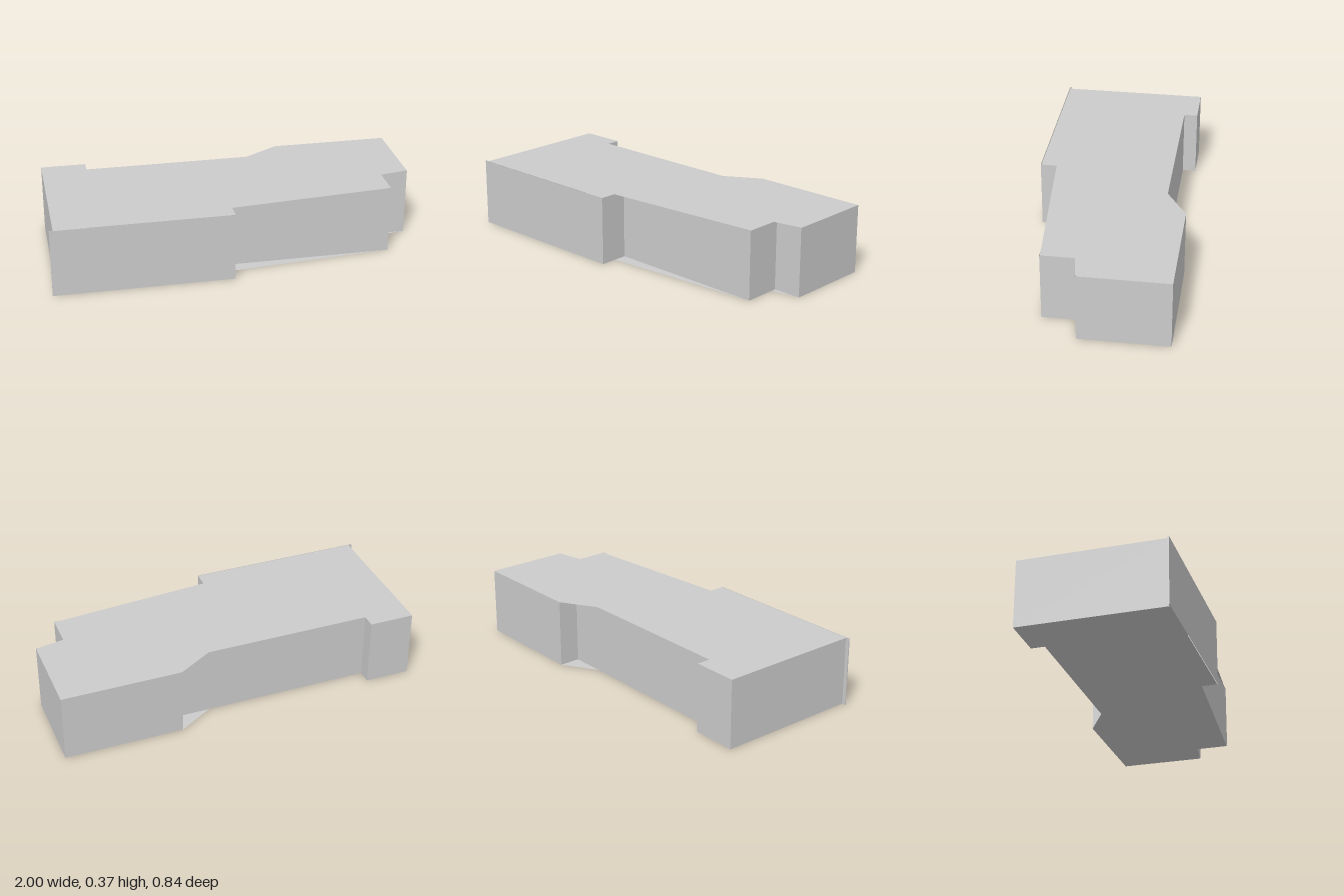
import * as THREE from 'three';

const HEIGHT = 0.373;

// Plan outlines as [x, z]; the slabs cut corners that the walls step around.
const slabOutline = [
  [-0.98, 0.415], [-0.04, 0.415], [-0.04, 0.33], [0.845, 0.255], [0.845, 0.08], [1, 0.052],
  [1, -0.42], [0.36, -0.42], [0.17, -0.305], [-0.735, -0.305], [-0.735, -0.38], [-0.98, -0.38],
];
const wallOutline = [
  [-1, 0.418], [-0.04, 0.418], [-0.04, 0.258], [0.845, 0.258], [0.845, 0.055], [1, 0.055],
  [1, -0.42], [0.36, -0.42], [0.36, -0.305], [-0.735, -0.305], [-0.735, -0.38], [-0.98, -0.38],
  [-0.98, 0.412], [-1, 0.412],
];

export function createModel() {
  const model = new THREE.Group();
  model.name = 'building';
  const material = new THREE.MeshStandardMaterial({ color: 0xcccccc, side: THREE.DoubleSide });

  // Roof and floor slabs, facing outward
  const shape = new THREE.Shape(slabOutline.map(([x, z]) => new THREE.Vector2(x, -z)));
  const roof = new THREE.Mesh(new THREE.ShapeGeometry(shape).rotateX(-Math.PI / 2), material);
  roof.name = 'roof';
  roof.position.y = HEIGHT;
  const floorShape = new THREE.Shape(slabOutline.map(([x, z]) => new THREE.Vector2(x, z)));
  const floor = new THREE.Mesh(new THREE.ShapeGeometry(floorShape).rotateX(Math.PI / 2), material);
  floor.name = 'floor';
  model.add(roof, floor);

  // One flat panel per outline segment
  const walls = new THREE.Group();
  walls.name = 'walls';
  wallOutline.forEach(([x0, z0], i) => {
    const [x1, z1] = wallOutline[(i + 1) % wallOutline.length];
    const wall = new THREE.Mesh(new THREE.PlaneGeometry(Math.hypot(x1 - x0, z1 - z0), HEIGHT), material);
    wall.name = 'wallPanel';
    wall.position.set((x0 + x1) / 2, HEIGHT / 2, (z0 + z1) / 2);
    wall.rotation.y = -Math.atan2(z1 - z0, x1 - x0);
    walls.add(wall);
  });
  model.add(walls);
  return model;
}
